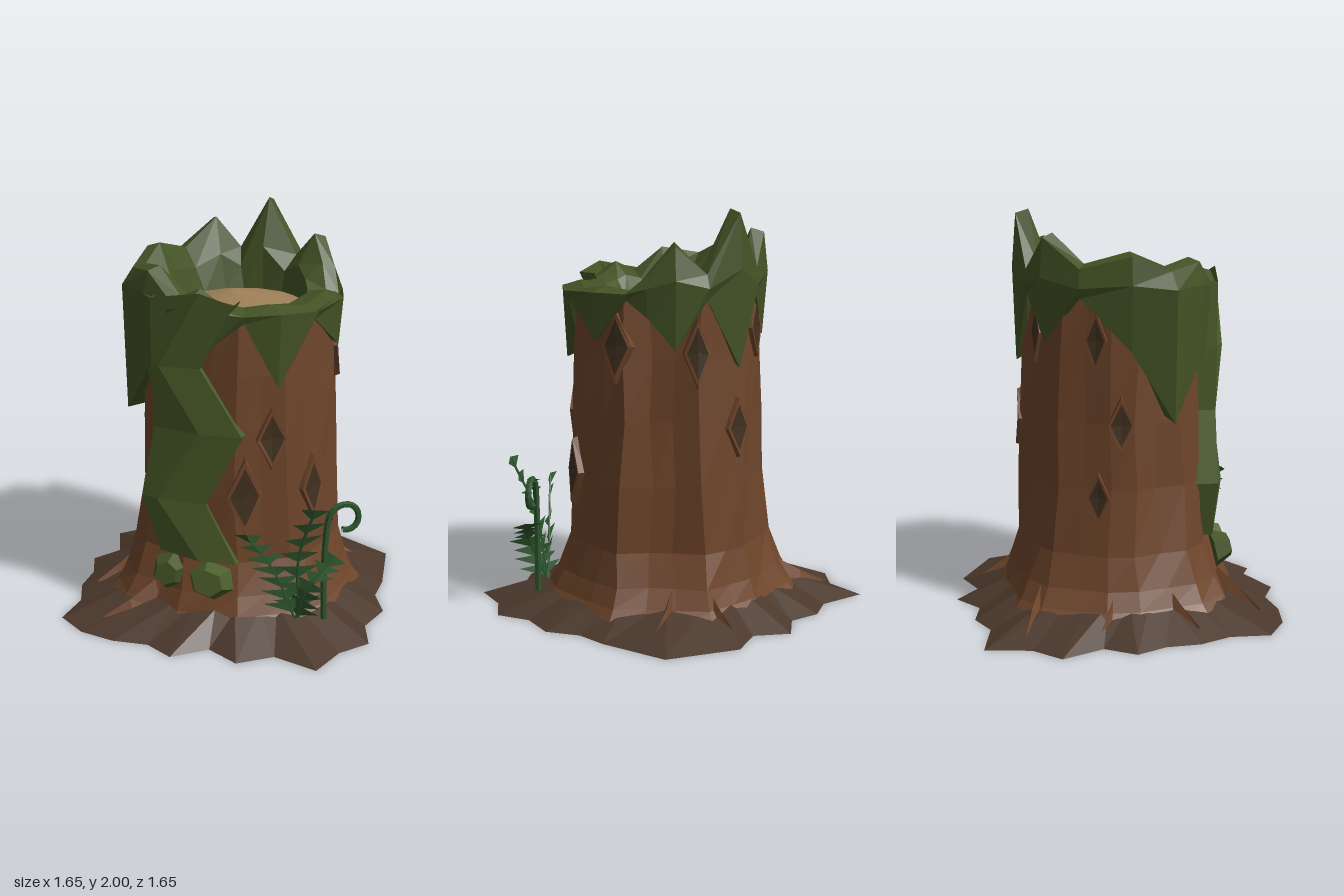
import * as THREE from 'three';

const CX = 0.03, CZ = -0.01;
const mat = (color) => new THREE.MeshStandardMaterial({ color, flatShading: true, side: THREE.DoubleSide, roughness: 1 });
const bark = mat(0x6e452a), barkDark = mat(0x40301f), soil = mat(0x4b382c), wood = mat(0x9c7f57);
const moss = mat(0x435225), mossLight = mat(0x4a5c28), fern = mat(0x2c552c);
const V = (x, y, z) => new THREE.Vector3(x, y, z);
const polar = (deg, r, y) => {
  const a = deg * Math.PI / 180;
  return V(CX + r * Math.sin(a), y, CZ + r * Math.cos(a));
};
// repeatable wobble in -1..1
const wobble = (i, j) => {
  const s = Math.sin(i * 12.99 + j * 78.23) * 43758.5;
  return (s - Math.floor(s)) * 2 - 1;
};

// skin a stack of point rows, bottom row first
function loft(rows, closed = true) {
  const n = rows[0].length, pos = [], index = [];
  rows.forEach((row) => row.forEach((p) => pos.push(p.x, p.y, p.z)));
  for (let i = 0; i < rows.length - 1; i++) {
    for (let j = 0; j < (closed ? n : n - 1); j++) {
      const a = i * n + j, b = i * n + (j + 1) % n;
      index.push(a, b, b + n, a, b + n, a + n);
    }
  }
  const g = new THREE.BufferGeometry();
  g.setAttribute('position', new THREE.Float32BufferAttribute(pos, 3));
  g.setIndex(index);
  g.computeVertexNormals();
  return g;
}

function triangles(points) {
  const g = new THREE.BufferGeometry().setFromPoints(points);
  g.computeVertexNormals();
  return g;
}

export function createModel() {
  const model = new THREE.Group();
  const add = (name, geo, material, parent = model) => {
    const m = new THREE.Mesh(geo, material);
    m.name = name;
    parent.add(m);
    return m;
  };

  // jagged mound of soil (x, z round the edge)
  const edge = [[.08, -.83], [.22, -.71], [.4, -.77], [.72, -.59], [.76, -.24], [.75, -.08], [.82, .08], [.76, .26],
    [.81, .43], [.69, .56], [.62, .75], [.4, .68], [.24, .79], [.08, .7], [-.08, .82], [-.22, .74], [-.4, .75],
    [-.58, .71], [-.73, .6], [-.71, .4], [-.77, .24], [-.77, .07], [-.83, -.08], [-.73, -.22], [-.81, -.43],
    [-.68, -.55], [-.63, -.77], [-.38, -.71], [-.23, -.77], [-.07, -.73]].reverse();
  add('soil', loft([
    edge.map(() => V(0, 0, 0)),
    edge.map(([x, z]) => V(x, 0, z)),
    edge.map(([x, z], j) => {
      const k = (0.53 + 0.02 * wobble(j, 1)) / Math.hypot(x, z);
      return V(x * k, 0.13, z * k);
    }),
    edge.map(() => V(0, 0.14, 0)),
  ]), soil);

  // trunk with uneven ridges and a flared foot that spreads to one side
  const ridge = [0, .01, -.02, 0, .01, 0, .01, .02, -.045, -.04, .02, 0, .01, -.02, 0, .01, -.02, 0, .01, -.01, .02, .01, -.03, .01];
  const ridgeAt = (a) => {
    const t = a / 15, j = Math.floor(t);
    return THREE.MathUtils.lerp(ridge[j % 24], ridge[(j + 1) % 24], t - j);
  };
  const levels = [[.04, .61], [.11, .565], [.2, .53], [.36, .49], [.68, .48], [1.0, .47], [1.3, .46], [1.6, .455]];
  add('trunk', loft(levels.map(([y, r], i) => ridge.map((d, j) => {
    const a = j * 15 + (i > 2 ? 2.5 * wobble(i, j) : 0), rad = a * Math.PI / 180;
    const spread = i < 4 ? .04 * Math.max(0, -Math.sin(rad)) : 0;
    const square = i < 3 ? .03 * (1 - Math.cos(rad * 4)) * (1 - i / 3) : 0;
    return polar(a, r + d + spread + square + 0.008 * wobble(j, i), y);
  }))), bark);

  // small pointed roots: [start angle, start radius, tip angle, tip radius]
  [[-33, .56, -40, .82], [-74, .54, -69, .75], [-101, .55, -107, .71], [-141, .56, -132, .83], [152, .52, 156, .72], [134, .49, 126, .71]]
    .forEach(([a0, r0, a1, r1]) => {
      const ring = (t, w, h) => [[-w, 0], [w, 0], [0, h]].map(([o, y]) =>
        polar(THREE.MathUtils.lerp(a0, a1, t) + o, THREE.MathUtils.lerp(r0, r1, t), .06 - .03 * t + y));
      add('root', loft([ring(0, 6, .15), ring(.5, 3, .08), ring(1, .3, .02)]), bark);
    });

  // diamond knot holes that follow the bark: [angle, height, half width, half height]
  [[35, .99, .08, .16], [19, .71, .09, .2], [62, .71, .075, .17], [101, 1.36, .08, .18], [148, 1.33, .065, .17],
    [175, .96, .07, .15], [202, 1.42, .06, .15], [247, 1.4, .06, .15], [262, 1.0, .065, .14], [249, .64, .06, .13]]
    .forEach(([a, y, w, h]) => {
      const ring = (k, r) => [[0, -h], [w, 0], [0, h], [-w, 0]].map(([u, v]) => {
        const angle = a + u * k * 122, up = y + v * k;
        return polar(angle, .503 - .033 * up + ridgeAt(angle) + r, up);
      });
      const knot = new THREE.Group();
      knot.name = 'knot';
      model.add(knot);
      add('knotLip', loft([ring(1.05, -.025), ring(.94, .022), ring(.74, .02)]), bark, knot);
      add('knotHollow', loft([ring(.74, .02), ring(.02, .013)]), barkDark, knot);
    });

  // cut face, a shallow cone with its point off centre
  const face = add('cutWood', new THREE.ConeGeometry(0.32, 0.06, 12, 1, true), wood);
  face.position.set(.04, 1.57, -.03);
  const tip = face.geometry.attributes.position;
  for (let i = 0; i < tip.count; i++) if (tip.getY(i) > 0) tip.setXYZ(i, -0.06, 0.03, -0.04);

  // moss crown: [angle, crest height, hanging edge height, extra radius]
  const crown = [[0, 1.66, 1.45, -.01], [18, 1.62, 1.57, 0], [37, 1.64, 1.25, .01], [60, 1.61, 1.56, .01], [88, 1.64, 1.38, .01],
    [108, 1.61, 1.58, 0], [120, 1.72, 1.5, 0], [135, 1.85, 1.35, .01], [153, 1.72, 1.58, 0], [175, 2.0, 1.25, 0],
    [195, 1.74, 1.6, -.02], [213, 1.9, 1.38, -.02], [238, 1.76, 1.6, -.025], [268, 1.82, 1.35, -.01], [289, 1.75, 1.01, .07],
    [314, 1.78, 1.28, .01], [335, 1.66, 1.4, 0], [350, 1.71, 1.4, -.01]];
  const layer = (fn) => crown.map(([a, top, low, extra], j) => {
    const [r, y, k] = fn(top, low, j);
    return polar(a, r + extra * k, y);
  });
  add('mossCrown', loft([
    layer((t, l) => [.44, l + .03, 0]),
    layer((t, l) => [.495, l, 1]),
    layer((t, l, j) => [.515 + .008 * wobble(j, 3), Math.max(l + .03, 1.6 + (t - 1.6) * .3), 1]),
    layer((t) => [.49, t - .02, .5]),
    layer((t) => [.425, t, .5]),
    layer((t) => [.335, 1.6 + (t - 1.6) * .4, 0]),
    crown.map(([a]) => polar(a, .29, 1.54).add(V(.012, 0, -.02))),
  ]), moss);

  // moss sheet hanging down the front: [y, left x, ridge x, right x, bulge z]
  const sheet = [[.37, -.25, -.03, .16, .515], [.66, -.34, -.25, 0, .49], [1.02, -.27, -.03, .18, .49],
    [1.34, -.28, -.23, -.03, .48], [1.66, -.28, -.02, .14, .5]];
  add('hangingMoss', loft(sheet.map(([y, l, m, r, z], i) => [
    V(l + .01, y, .3), V(l, y, .44), V(m, y + (i === 4 ? .05 : 0), i === 1 ? .48 : z), V(r, y, z - .01), V(r + .005, y, .38),
  ]), false), mossLight);

  // angular mossy lumps at the foot
  [[-.19, .285, .5, .1, .1, moss, .9], [.03, .27, .52, .135, .11, mossLight, .2]].forEach(([x, y, z, w, h, m, turn]) => {
    const geo = new THREE.CylinderGeometry(.6, 1, 1, 6).rotateX(Math.PI / 2).rotateZ(turn);
    const lump = add('mossLump', geo, m);
    lump.scale.set(w, h, .09);
    lump.position.set(x, y, z);
    lump.rotation.x = -.2;
  });

  // fern fronds: bent stem with paired, tapering leaflets
  const fernGroup = new THREE.Group();
  fernGroup.name = 'fern';
  model.add(fernGroup);
  const leaves = (curve, count, from, to, size, across) => {
    const pts = [];
    for (let i = 0; i < count; i++) {
      const t = from + (to - from) * i / (count - 1);
      const p = curve.getPointAt(t), d = curve.getTangentAt(t), len = size * (1.1 - .5 * i / count);
      for (const s of [-1, 1]) {
        const out = p.clone().addScaledVector(across, s * len).addScaledVector(d, len * .3);
        out.z += .04 * wobble(i, s);
        pts.push(p.clone().addScaledVector(d, -size * .3), out, p.clone().addScaledVector(d, size * .3));
      }
    }
    add('leaflets', triangles(pts), fern, fernGroup);
  };
  [[V(.44, .1, .45), V(.36, .36, .52), V(.25, .58, .62)], [V(.46, .1, .44), V(.47, .45, .5), V(.56, .73, .58)],
    [V(.45, .1, .45), V(.52, .3, .5), V(.62, .42, .42)]].forEach((path, k) => {
    const curve = new THREE.CatmullRomCurve3(path);
    add('frondStem', new THREE.TubeGeometry(curve, 8, .007, 4), fern, fernGroup);
    leaves(curve, 7, .12, .97, .11, V(.8, -.1, k === 2 ? .5 : -.5).normalize());
  });

  // curled young frond
  const curl = [[0, .08], [-.005, .3], [0, .5]];
  for (let i = 0; i <= 9; i++) {
    const a = Math.PI - i * .56, r = .09 - i * .004;
    curl.push([.1 + r * Math.cos(a), .6 + r * Math.sin(a)]);
  }
  const curlPath = new THREE.CatmullRomCurve3(curl.map(([u, y]) => V(.575 + u * .84, y, .385 - u * .54)));
  add('curledStem', new THREE.TubeGeometry(curlPath, 36, .016, 5), fern, fernGroup);
  leaves(curlPath, 6, .6, .98, .04, V(.54, 0, .84));

  return model;
}
